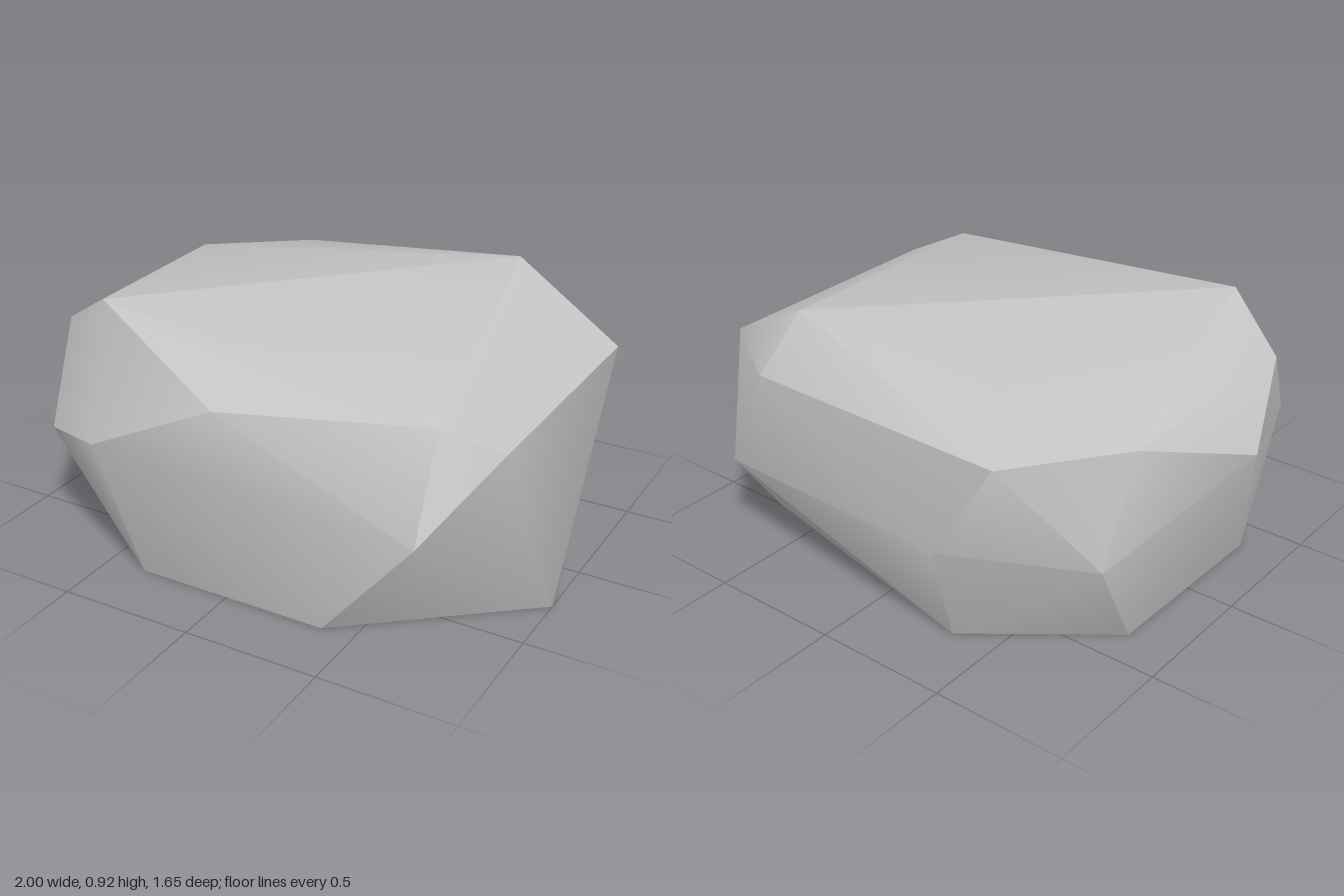
import * as THREE from 'three';
import { ConvexGeometry } from 'three/addons/geometries/ConvexGeometry.js';
import { toCreasedNormals } from 'three/addons/utils/BufferGeometryUtils.js';

// Corner points of the boulder, ring by ring from the ground up
const base = [
  [1, 0, 0.25], [0.38, 0, 0.755], [-0.35, 0, 0.755], [-0.825, 0, 0.36],
  [-0.81, 0, -0.36], [-0.335, 0, -0.725], [0.73, 0, -0.50],
];
const belly = [
  [0.73, 0.42, 0.785], [-0.49, 0.50, 0.825], [-0.77, 0.44, 0.69], [-1, 0.57, 0.09],
  [-0.85, 0.39, -0.59], [-0.34, 0.38, -0.825], [0.66, 0.345, -0.765],
];
const shoulder = [
  [0.92, 0.69, 0.53], [0.73, 0.78, 0.63], [0, 0.735, 0.805], [-0.86, 0.76, 0.44],
  [-0.86, 0.77, -0.43], [-0.55, 0.74, -0.77], [0.49, 0.74, -0.76], [0.92, 0.685, -0.46],
];
const crown = [[-0.61, 0.92, 0.56], [0.48, 0.92, -0.56]];

export function createModel() {
  const group = new THREE.Group();
  group.name = 'rock';
  const stone = new THREE.MeshStandardMaterial({ color: 0xc4c4c4 });
  stone.name = 'light grey stone';

  // One convex stone, softly shaded with sharp edges where facets turn strongly
  const points = [...base, ...belly, ...shoulder, ...crown].map((p) => new THREE.Vector3(...p));
  const geometry = toCreasedNormals(new ConvexGeometry(points), THREE.MathUtils.degToRad(31.4));
  const boulder = new THREE.Mesh(geometry, stone);
  boulder.name = 'boulder';
  group.add(boulder);
  return group;
}
